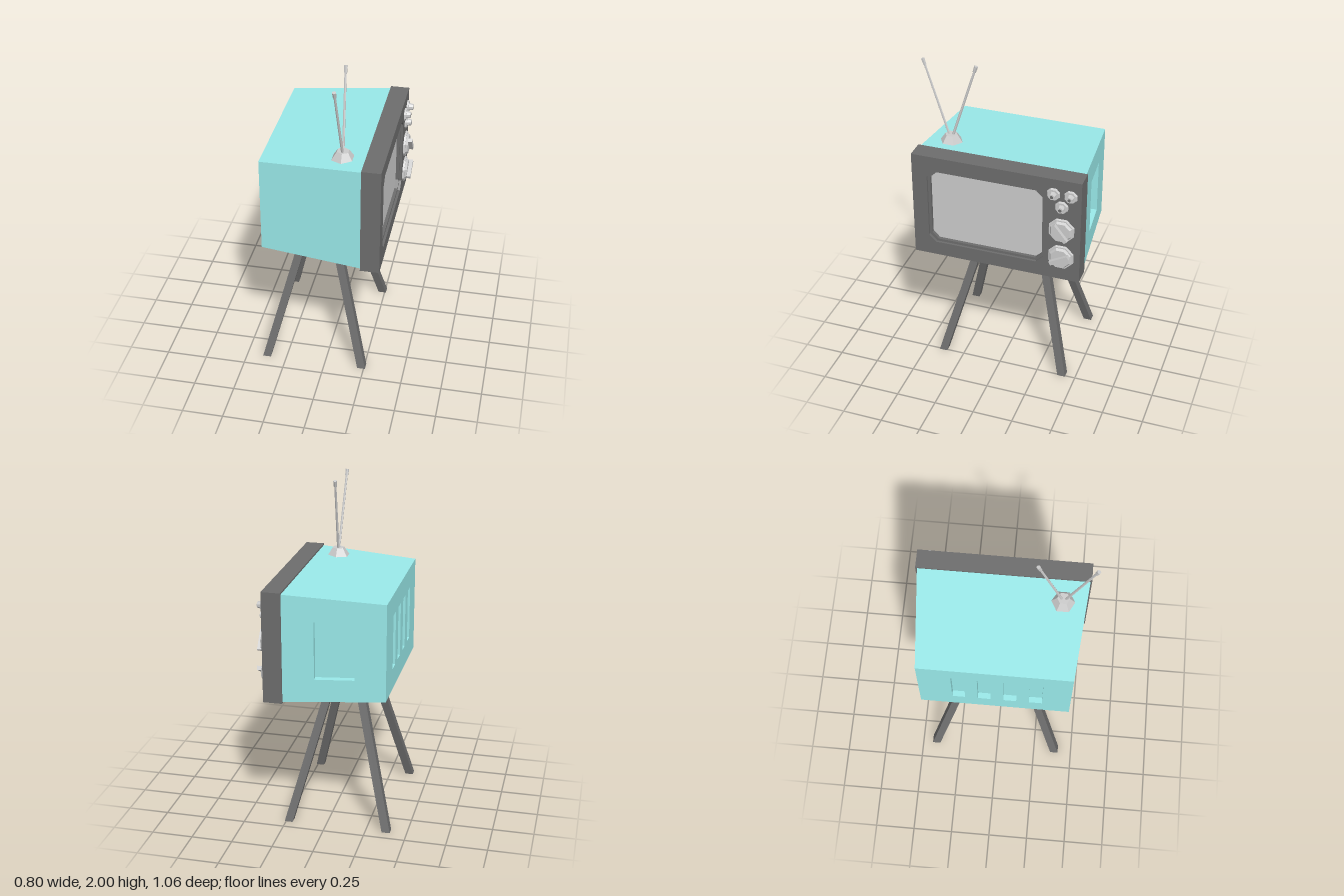
import * as THREE from 'three';

const mat = (color, side = THREE.FrontSide) =>
  new THREE.MeshStandardMaterial({ color, flatShading: true, side });
const TEAL = mat(0x98e8e8, THREE.DoubleSide), DARK = mat(0x6c6c6c), GREY = mat(0xcccccc);

function add(parent, name, geometry, material) {
  const mesh = new THREE.Mesh(geometry, material);
  mesh.name = name;
  parent.add(mesh);
  return mesh;
}

// Closed shape or hole from a list of points
const pts = (list) => list.map(([x, y]) => new THREE.Vector2(x, y));
const rect = (x0, y0, x1, y1) => pts([[x0, y0], [x1, y0], [x1, y1], [x0, y1]]);
const octagon = (x0, y0, x1, y1, c) => pts([
  [x0 + c, y0], [x1 - c, y0], [x1, y0 + c], [x1, y1 - c],
  [x1 - c, y1], [x0 + c, y1], [x0, y1 - c], [x0, y0 + c]]);
function plate(outline, hole, depth, z) {
  const shape = new THREE.Shape(outline);
  if (hole) shape.holes.push(new THREE.Path(hole));
  return new THREE.ExtrudeGeometry(shape, { depth, bevelEnabled: false }).translate(0, 0, z);
}

// Corner of the cabinet, which narrows toward the back
function corner(front, sy, sz) {
  return new THREE.Vector3(front ? 0.235 : -0.37,
    1.17 + sy * (front ? 0.33 : 0.297), -0.012 + sz * (front ? 0.508 : 0.455));
}

// Cabinet wall on four corners with sunk rectangles [u0, v0, u1, v1]
function wall(parent, name, [a, b, c, d], holes = [], depth = 0) {
  const normal = b.clone().sub(a).cross(d.clone().sub(a)).normalize();
  const place = (geometry) => {
    const p = geometry.attributes.position;
    for (let i = 0; i < p.count; i++) {
      const u = p.getX(i), v = p.getY(i), w = p.getZ(i);
      const q = a.clone().lerp(b, u).lerp(d.clone().lerp(c, u), v).addScaledVector(normal, w);
      p.setXYZ(i, q.x, q.y, q.z);
    }
    geometry.computeVertexNormals();
    return geometry;
  };
  const shape = new THREE.Shape(rect(0, 0, 1, 1));
  holes.forEach((h) => shape.holes.push(new THREE.Path(rect(...h))));
  add(parent, name, place(new THREE.ShapeGeometry(shape)), TEAL);
  for (const [u0, v0, u1, v1] of holes) {
    const box = new THREE.BoxGeometry(u1 - u0, v1 - v0, depth)
      .translate((u0 + u1) / 2, (v0 + v1) / 2, -depth / 2);
    // leave the outer side of the recess open
    box.setIndex(Array.from(box.index.array).filter((_, i) => i < 24 || i >= 30));
    box.clearGroups();
    add(parent, name + 'Recess', place(box), TEAL);
  }
}

function buildCabinet() {
  const g = new THREE.Group();
  g.name = 'cabinet';
  const C = corner;
  wall(g, 'topWall', [C(0, 1, 1), C(1, 1, 1), C(1, 1, -1), C(0, 1, -1)]);
  wall(g, 'bottomWall', [C(0, -1, -1), C(1, -1, -1), C(1, -1, 1), C(0, -1, 1)]);
  wall(g, 'plainSideWall', [C(0, -1, 1), C(1, -1, 1), C(1, 1, 1), C(0, 1, 1)]);
  wall(g, 'frontWall', [C(1, -1, 1), C(1, -1, -1), C(1, 1, -1), C(1, 1, 1)]);
  wall(g, 'windowSideWall', [C(1, -1, -1), C(0, -1, -1), C(0, 1, -1), C(1, 1, -1)],
    [[0.31, 0.22, 0.7, 0.77]], 0.04);
  const slots = [0.26, 0.43, 0.6, 0.77].map((u) => [u - 0.043, 0.22, u + 0.043, 0.78]);
  wall(g, 'backWall', [C(0, -1, -1), C(0, -1, 1), C(0, 1, 1), C(0, 1, -1)], slots, 0.035);
  return g;
}

// Eight-sided disc lying in the panel plane
function disc(parent, name, rBack, rFront, z0, z1, material) {
  const geometry = new THREE.CylinderGeometry(rFront, rBack, z1 - z0, 8)
    .rotateY(Math.PI / 8).rotateX(Math.PI / 2).translate(0, 0, (z0 + z1) / 2);
  return add(parent, name, geometry, material);
}

// Panel is modelled facing +z, then turned to face +x
function buildFrontPanel() {
  const g = new THREE.Group();
  g.name = 'frontPanel';
  const opening = octagon(-0.412, 0.92, 0.307, 1.418, 0.045);
  const inner = octagon(-0.396, 0.936, 0.295, 1.405, 0.04);
  add(g, 'bezel', plate(rect(-0.505, 0.83, 0.53, 1.51), opening, 0.115, 0.235), DARK);
  add(g, 'screenRim', plate(opening, inner, 0.04, 0.295), DARK);
  add(g, 'screen', plate(inner, null, 0.02, 0.295), GREY);

  for (const [x, y] of [[0.364, 1.412], [0.467, 1.412], [0.414, 1.332]]) {
    const knob = new THREE.Group();
    knob.name = 'smallKnob';
    knob.position.set(x, y, 0.35);
    disc(knob, 'knobFlange', 0.042, 0.036, 0, 0.012, GREY);
    disc(knob, 'knobStem', 0.024, 0.018, 0.012, 0.038, GREY);
    disc(knob, 'knobTip', 0.01, 0.01, 0.038, 0.039, DARK);
    g.add(knob);
  }
  for (const [y, turn] of [[1.175, -0.9], [0.99, 0.5]]) {
    const dial = new THREE.Group();
    dial.name = 'channelDial';
    dial.position.set(0.416, y, 0.35);
    disc(dial, 'dialFlange', 0.083, 0.078, 0, 0.012, GREY);
    disc(dial, 'dialFace', 0.07, 0.06, 0.012, 0.026, GREY);
    const grip = add(dial, 'dialGrip', new THREE.BoxGeometry(0.125, 0.024, 0.026), GREY);
    grip.position.z = 0.037;
    grip.rotation.z = turn;
    g.add(dial);
  }
  g.rotation.y = Math.PI / 2;
  return g;
}

function buildStand() {
  const g = new THREE.Group();
  g.name = 'stand';
  const cx = -0.07, cz = -0.012, height = 0.845;
  const top = add(g, 'standPlate', new THREE.BoxGeometry(0.23, 0.035, 0.42), DARK);
  top.position.set(cx, 0.846, cz);
  for (const sx of [-1, 1]) for (const sz of [-1, 1]) {
    // Square leg sheared outward toward the floor
    const leg = new THREE.BoxGeometry(0.05, height, 0.05).translate(0, height / 2, 0);
    const p = leg.attributes.position;
    for (let i = 0; i < p.count; i++) {
      const t = p.getY(i) / height;
      p.setX(i, p.getX(i) + cx + sx * THREE.MathUtils.lerp(0.304, 0.088, t));
      p.setZ(i, p.getZ(i) + cz + sz * THREE.MathUtils.lerp(0.4, 0.182, t));
    }
    leg.computeVertexNormals();
    add(g, 'leg', leg, DARK);
  }
  return g;
}

// Rod between two points
function rod(parent, name, from, to, r0, r1) {
  const dir = to.clone().sub(from);
  const mesh = add(parent, name, new THREE.CylinderGeometry(r1, r0, dir.length(), 6), GREY);
  mesh.position.copy(from).addScaledVector(dir, 0.5);
  mesh.quaternion.setFromUnitVectors(new THREE.Vector3(0, 1, 0), dir.normalize());
}

function buildAntenna() {
  const g = new THREE.Group();
  g.name = 'antenna';
  const base = add(g, 'antennaBase', new THREE.CylinderGeometry(0.038, 0.075, 0.055, 6), GREY);
  base.position.set(0.103, 1.512, 0.347);
  for (const [z0, z1] of [[0.36, 0.518], [0.338, 0.19]]) {
    const start = new THREE.Vector3(0.102, 1.53, z0), end = new THREE.Vector3(0.086, 1.998, z1);
    const neck = start.clone().lerp(end, 0.92);
    rod(g, 'antennaRod', start, neck, 0.008, 0.007);
    rod(g, 'antennaTip', neck, end, 0.01, 0.012);
  }
  return g;
}

export function createModel() {
  const model = new THREE.Group();
  model.name = 'television';
  model.add(buildCabinet(), buildFrontPanel(), buildStand(), buildAntenna());
  return model;
}
